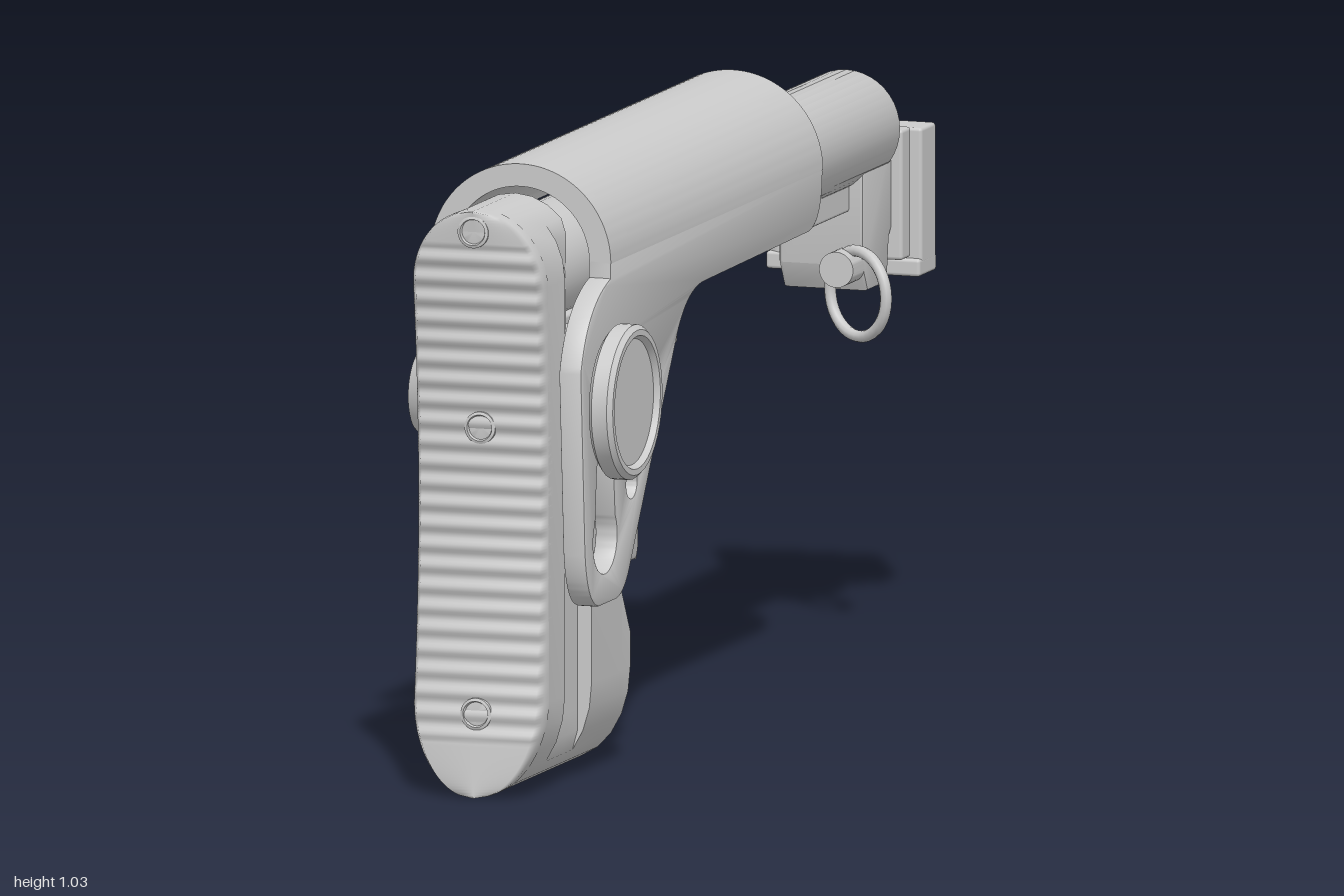
import * as THREE from 'three';
import { toCreasedNormals } from 'three/addons/utils/BufferGeometryUtils.js';
import { RoundedBoxGeometry } from 'three/addons/geometries/RoundedBoxGeometry.js';

const CX = -0.022, HALF = 0.115;
const mat = new THREE.MeshStandardMaterial({ color: 0xcccccc });
const matDouble = new THREE.MeshStandardMaterial({ color: 0xcccccc, side: THREE.DoubleSide });
const clamp = THREE.MathUtils.clamp;

// concave rear curve of the butt
const frontZ = y => 1 - 0.042 * Math.sin(Math.PI * clamp(y, 0, 1));

export function createModel() {
  const group = new THREE.Group();

  const add = (name, geo, x = 0, y = 0, z = 0, material = mat) => {
    const mesh = new THREE.Mesh(geo, material);
    mesh.name = name;
    mesh.position.set(x, y, z);
    group.add(mesh);
    return mesh;
  };
  // box given by its limits
  const box = (name, x0, x1, y0, y1, z0, z1, r = 0.006) =>
    add(name, new RoundedBoxGeometry(x1 - x0, y1 - y0, z1 - z0, 2, r),
      (x0 + x1) / 2, (y0 + y1) / 2, (z0 + z1) / 2);
  // side profile in (z, y), extruded from x0 to x1
  const slab = (name, shape, x0, x1, bevel = 0.006) => {
    const geo = new THREE.ExtrudeGeometry(shape, {
      depth: x1 - x0 - 2 * bevel, bevelEnabled: bevel > 0, bevelSize: bevel,
      bevelThickness: bevel, bevelOffset: -bevel, bevelSegments: 2, curveSegments: 20,
    });
    geo.rotateY(-Math.PI / 2).translate(x1 - bevel, 0, 0);
    return add(name, toCreasedNormals(geo, 0.6));
  };
  // turned part; points are [radius, height along axis]
  const turned = (name, pts, axis, x, y, z) => {
    const geo = toCreasedNormals(new THREE.LatheGeometry(pts.map(p => new THREE.Vector2(...p)), 40), 0.6);
    if (axis === 'x') geo.rotateZ(-Math.PI / 2);
    if (axis === 'z') geo.rotateX(Math.PI / 2);
    return add(name, geo, x, y, z);
  };
  const poly = pts => new THREE.Shape(pts.map(p => new THREE.Vector2(...p)));
  const circle = (z, y, r) => new THREE.Path().absarc(z, y, r, 0, Math.PI * 2, true);

  // butt body: rounded sections lofted along z, with side recesses
  const ring = ({ top, round, recess }) => {
    const pts = [], hb = 0.16, ht = round ? 0.13 : 0.02, low = 0.01;
    const n = 12, sideTop = top - ht;
    for (let i = 0; i <= n; i++) {
      const a = Math.PI * i / n;
      pts.push([HALF * Math.cos(a), sideTop + ht * Math.sin(a)]);
    }
    for (const [y, inside] of [[0.5, 0], [0.5, 1], [0.17, 1], [0.17, 0]])
      pts.push([inside && recess ? -HALF + 0.03 : -HALF, Math.min(y, sideTop)]);
    for (let i = 0; i <= n; i++) {
      const a = Math.PI * (1 + i / n);
      pts.push([HALF * Math.cos(a), low + hb + hb * Math.sin(a)]);
    }
    return pts.map(([x, y]) => [recess && y > 0.03 ? Math.min(x, HALF - 0.025) : x, y]);
  };
  const stations = [
    { z: 0.545, top: 0.25 }, { z: 0.585, top: 0.32 }, { z: 0.585, top: 0.78 },
    { z: 0.735, top: 0.78 }, { z: 0.735, top: 0.78, recess: true },
    { z: 0.79, top: 0.78, recess: true }, { z: 0.79, top: 1, round: true, recess: true },
    { z: 0.865, top: 1, round: true, recess: true }, { z: 0.865, top: 1, round: true },
    { z: null, top: 1, round: true },
  ];
  const pos = [], index = [];
  stations.forEach(s => ring(s).forEach(([x, y]) => pos.push(CX + x, y, s.z ?? frontZ(y) - 0.035)));
  const count = pos.length / 3 / stations.length;
  for (let k = 0; k < stations.length - 1; k++) for (let i = 0; i < count; i++) {
    const j = (i + 1) % count, a = k * count, b = a + count;
    index.push(a + i, a + j, b + j, a + i, b + j, b + i);
  }
  pos.push(CX, 0.15, 0.545);
  for (let i = 0; i < count; i++) index.push(pos.length / 3 - 1, (i + 1) % count, i);
  const bodyGeo = new THREE.BufferGeometry();
  bodyGeo.setAttribute('position', new THREE.Float32BufferAttribute(pos, 3));
  bodyGeo.setIndex(index);
  add('buttBody', toCreasedNormals(bodyGeo, 0.6));

  // ribbed recoil pad
  const cols = [[-1, 0.036], [-1, 0.012], [-0.92, 0], [0, 0], [0.92, 0], [1, 0.012], [1, 0.036]];
  const rows = 200, padGeo = new THREE.PlaneGeometry(1, 1, cols.length - 1, rows);
  const p = padGeo.attributes.position;
  for (let i = 0; i < p.count; i++) {
    const [u, back] = cols[i % cols.length];
    const y = 0.01 + 0.99 * (p.getY(i) + 0.5);
    const t = Math.min(1, (y - 0.01) / 0.16, (1 - y) / 0.13);
    const w = HALF * Math.sqrt(Math.max(0, 1 - (1 - t) ** 2));
    const rib = y > 0.1 && y < 0.94 && !back ? 0.003 * Math.sin(y * 180) : 0;
    p.setXYZ(i, CX + w * u, y, frontZ(y) - back + rib);
  }
  padGeo.computeVertexNormals();
  add('recoilPad', padGeo, 0, 0, 0, matDouble);
  for (const y of [0.15, 0.63, 0.965])
    turned('padScrew', [[0, -0.02], [0.027, -0.02], [0.027, 0.003], [0.022, 0.005], [0.02, 0], [0, 0]],
      'z', CX, y, frontZ(y));

  // receiver tube with lower rail
  turned('tube', [[0, -0.855], [0.085, -0.855], [0.095, -0.84], [0.095, 0.8], [0, 0.8]], 'z', -0.025, 0.864, 0);
  box('tubeRail', -0.075, 0.025, 0.74, 0.79, -0.72, 0.6);
  box('railStrip', -0.045, -0.005, 0.73, 0.745, -0.6, 0.05, 0.004);

  // cheek rest shell
  const cheek = new THREE.Shape();
  cheek.absarc(CX, 0.885, 0.16, 0, 2.88, false);
  cheek.absarc(CX, 0.885, 0.122, 2.88, 0, true);
  add('cheekRest', toCreasedNormals(new THREE.ExtrudeGeometry(cheek,
    { depth: 1.04, bevelEnabled: false, curveSegments: 32 }), 0.6), 0, 0, -0.275);

  // side panel hanging from the cheek rest
  const panel = new THREE.Shape();
  panel.moveTo(-0.275, 0.887);
  panel.quadraticCurveTo(-0.275, 0.79, -0.2, 0.79);
  panel.lineTo(0.3, 0.785);
  panel.quadraticCurveTo(0.39, 0.785, 0.44, 0.71);
  panel.lineTo(0.665, 0.365);
  panel.quadraticCurveTo(0.695, 0.315, 0.74, 0.315);
  panel.lineTo(0.82, 0.315);
  panel.quadraticCurveTo(0.88, 0.325, 0.89, 0.42);
  panel.lineTo(0.91, 0.72);
  panel.quadraticCurveTo(0.88, 0.83, 0.765, 0.86);
  panel.lineTo(0.765, 0.887);
  const slot = new THREE.Path();
  slot.absarc(0.79, 0.54, 0.04, Math.PI, 0, true);
  slot.absarc(0.79, 0.425, 0.058, 0.6, Math.PI - 0.6, true);
  panel.holes.push(slot, circle(0.66, 0.5, 0.026), circle(0.62, 0.58, 0.026), circle(0.565, 0.65, 0.026));
  slab('sidePanel', panel, 0.098, 0.138, 0.004);

  // clamping knob and its neck
  turned('knob', [[0, 0.155], [0.12, 0.155], [0.13, 0.163], [0.13, 0.19], [0.122, 0.198],
    [0.112, 0.198], [0.106, 0.188], [0, 0.188]], 'x', 0, 0.66, 0.8);
  turned('knobNeck', [[0, 0.07], [0.045, 0.07], [0.045, 0.16], [0, 0.16]], 'x', 0, 0.66, 0.8);

  // hollow boss on the opposite side
  const boss = turned('boss', [[0, -0.01], [0.09, -0.01], [0.09, 0.018], [0.07, 0.046], [0.055, 0.046],
    [0.045, 0.01], [0, 0.01]], 'x', -0.137, 0.66, 0.8);
  boss.rotation.y = Math.PI;

  // housing between the tube, grip and butt
  slab('housing', poly([[0.22, 0.78], [0.22, 0.665], [0.32, 0.655], [0.6, 0.64], [0.6, 0.79], [0.22, 0.79]]),
    -0.1, 0.06);
  box('sideFlange', -0.137, 0.05, 0.76, 0.79, 0.22, 0.8);
  box('latchBlock', 0.04, 0.09, 0.59, 0.72, 0.49, 0.6);
  turned('latchPin', [[0, -0.15], [0.028, -0.15], [0.028, 0.12], [0, 0.12]], 'x', 0, 0.65, 0.565);

  // slanted spring bars under the open cheek edge
  for (let i = 0; i < 6; i++) {
    const z = 0.2 + i * 0.085;
    const bar = new THREE.LineCurve3(new THREE.Vector3(-0.126, 0.8, z), new THREE.Vector3(-0.126, 0.92, z + 0.075));
    add('slantedBar', new THREE.TubeGeometry(bar, 1, 0.012, 10));
  }

  // grip with finger contour
  const grip = new THREE.Shape();
  grip.moveTo(0.6, 0.32);
  grip.lineTo(0.372, 0.32);
  grip.splineThru([[0.362, 0.35], [0.366, 0.4], [0.384, 0.46], [0.376, 0.52], [0.335, 0.6], [0.325, 0.67]]
    .map(q => new THREE.Vector2(...q)));
  grip.lineTo(0.6, 0.67);
  slab('grip', grip, -0.09, 0.046, 0.015);

  // sling stud below the rail
  box('studPlate', -0.065, 0.02, 0.725, 0.752, 0.06, 0.3);
  turned('slingStud', [[0, 0.655], [0.036, 0.655], [0.04, 0.66], [0.04, 0.71], [0.028, 0.715],
    [0.028, 0.74], [0, 0.74]], 'y', CX, 0, 0.163);

  // end collar block and pull ring
  slab('endBlock', poly([[-0.715, 0.86], [-0.715, 0.65], [-0.74, 0.605], [-0.835, 0.605],
    [-0.845, 0.68], [-0.862, 0.7], [-0.862, 0.86]]), -0.1, 0.05);
  turned('ringBoss', [[0, -0.04], [0.03, -0.04], [0.03, 0.05], [0, 0.05]], 'z', 0.02, 0.65, -0.715);
  const pull = add('pullRing', new THREE.TorusGeometry(0.072, 0.01, 10, 36), 0.05, 0.608, -0.69);
  pull.rotation.y = -0.52;

  // hinge plates at the far end
  box('hingePlate', -0.115, 0.07, 0.64, 0.86, -0.895, -0.85);
  box('hingeCore', -0.09, 0.05, 0.66, 0.83, -0.92, -0.88);
  box('mountPlate', -0.12, 0.083, 0.625, 0.855, -0.982, -0.91);
  box('lowerLip', -0.19, 0.083, 0.605, 0.635, -0.985, -0.9);
  box('upperStop', -0.05, 0.0, 0.85, 0.885, -0.895, -0.86);
  turned('mountButton', [[0, -1], [0.05, -1], [0.055, -0.995], [0.055, -0.97], [0, -0.97]], 'z', -0.03, 0.745, 0);
  turned('hingeBarrel', [[0.016, 0.62], [0.033, 0.62], [0.033, 0.858], [0.016, 0.858], [0.016, 0.62]],
    'y', -0.163, 0, -0.935);
  box('barrelWeb', -0.14, -0.11, 0.64, 0.85, -0.965, -0.905);

  return group;
}
